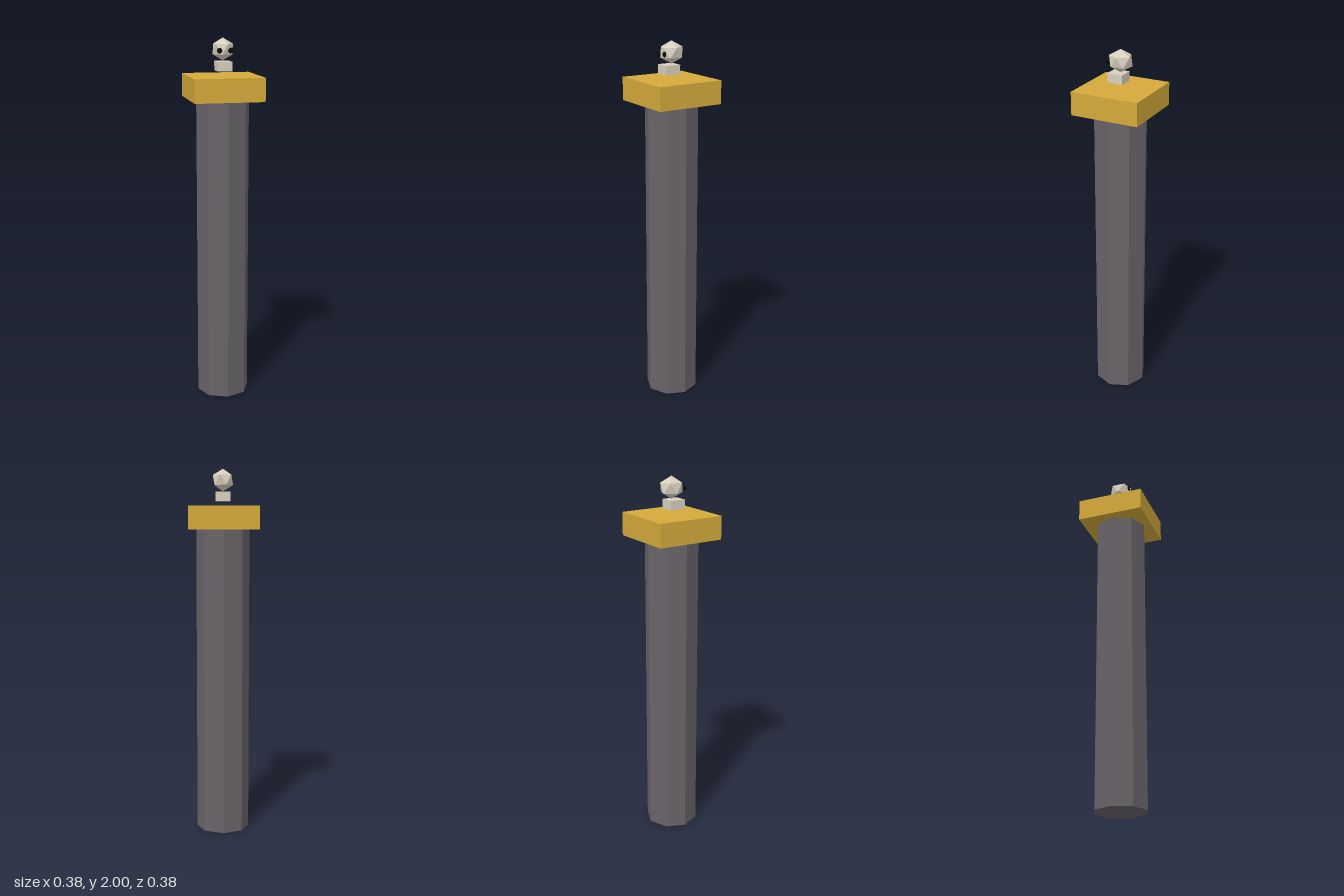
import * as THREE from 'three';

const paint = (color) => new THREE.MeshStandardMaterial({ color, flatShading: true });

export function createModel() {
  const model = new THREE.Group();
  model.name = 'pillarWithFigure';

  const stone = paint(0x686368);
  const gold = paint(0xd4aa3a);
  const bone = paint(0xd8d0be);
  const black = new THREE.MeshStandardMaterial({ color: 0x0c0c0c });

  function add(name, geometry, material, x, y, z) {
    const mesh = new THREE.Mesh(geometry, material);
    mesh.name = name;
    mesh.position.set(x, y, z);
    model.add(mesh);
    return mesh;
  }

  // Octagonal column and square slab on top
  add('column', new THREE.CylinderGeometry(0.145, 0.145, 1.677, 8), stone, 0, 0.8385, 0);
  add('capital', new THREE.BoxGeometry(0.376, 0.125, 0.376), gold, 0, 1.739, 0);

  // Small block floating below the head
  add('jaw', new THREE.BoxGeometry(0.08, 0.05, 0.086), bone, 0, 1.852, 0.014);

  // Faceted head: icosahedron turned so one corner points straight up
  const head = new THREE.IcosahedronGeometry(1, 0);
  head.rotateZ(-Math.atan(2 / (1 + Math.sqrt(5))));
  head.scale(0.0615, 0.06, 0.069);
  add('head', head, bone, 0, 1.94, 0);

  // Flattened eyes
  const eye = new THREE.SphereGeometry(0.0145, 16, 12);
  for (const [name, side] of [['leftEye', 1], ['rightEye', -1]]) {
    add(name, eye, black, side * 0.03, 1.935, 0.062).scale.z = 0.45;
  }

  return model;
}
